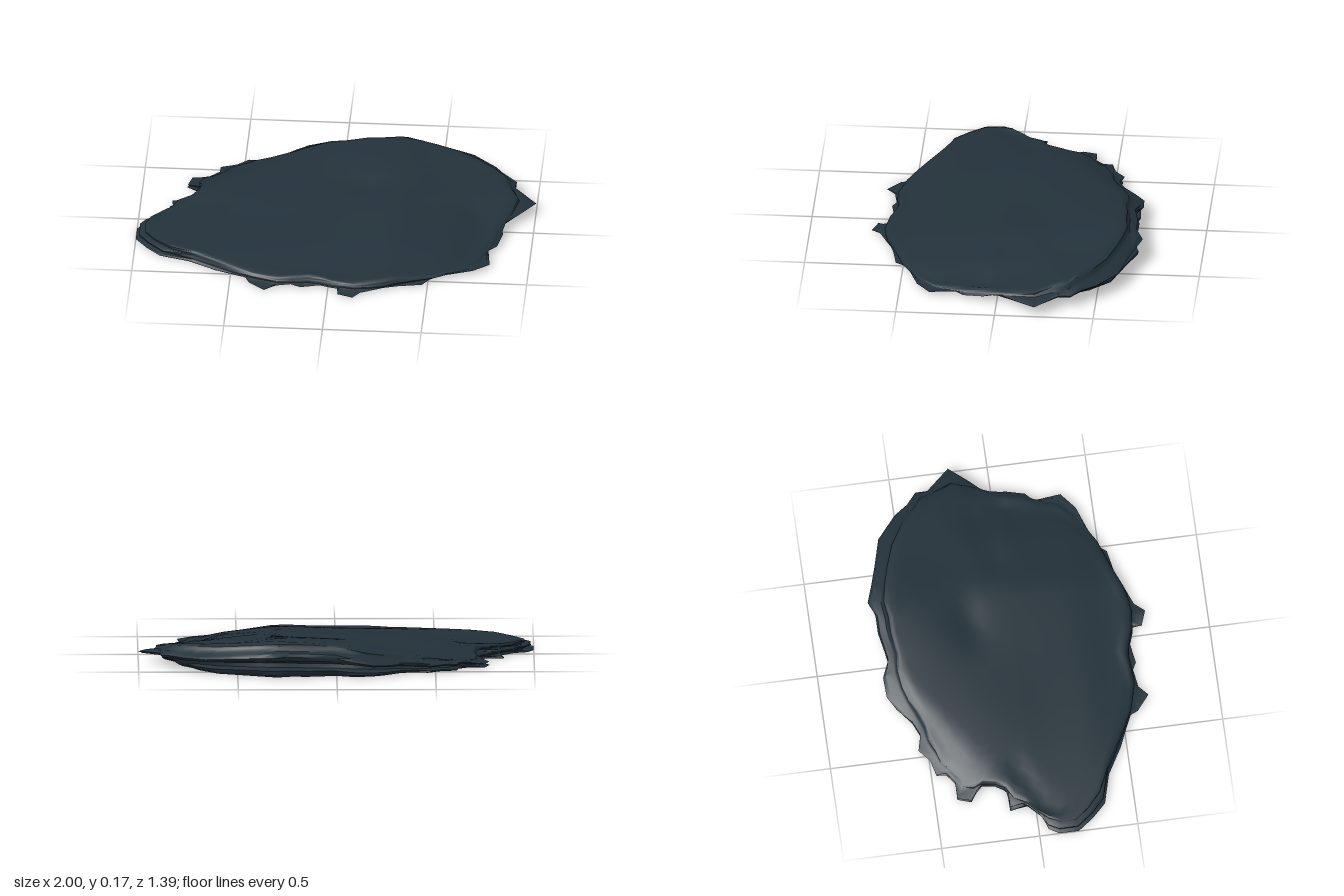
import * as THREE from 'three';
import { toCreasedNormals } from 'three/addons/utils/BufferGeometryUtils.js';

const { smoothstep, lerp, clamp } = THREE.MathUtils;

// Ragged plan outline (x, z): left, front, right, back
const OUTLINE = [
  [-1, .1], [-1, .2], [-.94, .28], [-.87, .35], [-.72, .39], [-.58, .47], [-.42, .53], [-.4, .58],
  [-.32, .645], [-.27, .6], [-.2, .575], [-.14, .605], [0, .565], [.07, .6], [.05, .66], [.13, .69],
  [.16, .645], [.25, .6], [.36, .575], [.49, .56], [.52, .52], [.6, .47], [.73, .42], [.81, .35],
  [.79, .21], [.83, .17], [.85, .07], [.83, 0], [.92, -.1], [1, -.2], [.89, -.32], [.89, -.38],
  [.83, -.43], [.78, -.5], [.66, -.6], [.51, -.64], [.41, -.67], [.32, -.7], [.25, -.67], [.15, -.67],
  [0, -.64], [-.08, -.675], [-.18, -.67], [-.25, -.63], [-.33, -.56], [-.4, -.53], [-.48, -.55], [-.54, -.5],
  [-.62, -.48], [-.62, -.43], [-.67, -.39], [-.76, -.39], [-.78, -.32], [-.7, -.27], [-.69, -.18], [-.75, -.13],
  [-.85, -.13], [-.83, -.04], [-.9, .03], [-.97, .05],
];

// Edge strata: [height fraction, smoothing, front, back, left, right reach]
const STRATA = [
  [0, .5, .94, .88, .97, .8],
  [0, .1, .99, .95, 1, .84],
  [.08, 0, 1, .975, 1, .86],
  [.2, .2, .98, .985, .99, .89],
  [.27, .6, .97, .93, .985, .93],
  [.4, .6, .97, .92, .985, .96],
  [.5, .1, .97, .985, .99, .99],
  [.62, 0, .965, 1, .985, 1],
  [.72, .3, .96, .985, .985, .995],
  [.76, .7, .96, .93, .98, .985],
  [.86, .7, .955, .91, .98, .98],
  [.94, .6, .945, .905, .98, .97],
  [.99, .7, .925, .885, .97, .94],
];

// Distance from (x, z) to a segment, used for the surface cracks
function segmentDistance(x, z, [ax, az, bx, bz]) {
  const dx = bx - ax, dz = bz - az;
  const t = clamp(((x - ax) * dx + (z - az) * dz) / (dx * dx + dz * dz), 0, 1);
  return Math.hypot(x - ax - t * dx, z - az - t * dz);
}
const CRACKS = [[.9, -.27, .68, -.07], [.68, -.07, .45, -.03], [.85, 0, .63, .13], [-.93, .08, -.65, -.07]];

const bump = (x, z, cx, cz, rx, rz) => Math.exp(-(((x - cx) / rx) ** 2) - ((z - cz) / rz) ** 2);

// Tilted slab height: humps behind the middle, low ledges around the corners
function topHeight(x, z) {
  let y = .105 + .05 * x - .11 * z * Math.max(.15, .6 + .6 * x) - .02 * Math.max(0, z);
  y -= .135 * Math.max(0, x - .3);
  y += .014 * bump(x, z, .12, -.45, .22, .2) + .018 * bump(x, z, -.35, -.17, .3, .25);
  y -= .022 * smoothstep(x, .55, .8) * smoothstep(z, -.2, 0);  // right front
  y -= .04 * smoothstep(-.6 * x - .9 * z, .55, .76);           // left back
  y -= .03 * smoothstep(.5 * x - .87 * z, .72, .88);           // right back
  y -= .012 * smoothstep(z, .3, .55);                          // front
  return Math.max(.03, y);
}
function topSurface(x, z) {
  let y = topHeight(x, z) - .014 * bump(x, z, .14, -.2, .13, .08);
  for (const c of CRACKS) y -= .01 * Math.exp(-((segmentDistance(x, z, c) / .045) ** 2));
  return y + .003 * Math.sin(5 * x + 3 * z) * Math.cos(6 * z - 2 * x);
}

function slabGeometry() {
  const n = OUTLINE.length, positions = [], index = [];
  // Outline softened by averaging neighbours
  const soft = OUTLINE.map((_, i) => [0, 1].map((k) => {
    let sum = 0;
    for (let d = -2; d <= 2; d++) sum += OUTLINE[(i + d + n) % n][k];
    return sum / 5;
  }));
  // Only the lowest sheet follows the front tabs
  const edgePoint = (i, [t, smooth, front, back, left, right]) => {
    const [ox, oz] = OUTLINE[i];
    const a = Math.atan2(oz / .68, ox), c = Math.cos(a) ** 2, s = Math.sin(a) ** 2;
    const reach = c * (ox > 0 ? right : left) + s * (oz > 0 ? front : back);
    const blend = oz > .5 && t > .1 ? 1 : smooth;
    return [0, 1].map((k) => lerp(OUTLINE[i][k], soft[i][k], blend) * reach);
  };
  let rings = 0;
  const addRing = (fn) => {
    for (let i = 0; i < n; i++) positions.push(...fn(i));
    rings++;
  };

  // Underside, hollowed inside a low rim
  for (const s of [0, .2, .4, .6, .7, .76, .82, .88, .94]) {
    addRing((i) => {
      const [ex, ez] = edgePoint(i, STRATA[0]), x = ex * s, z = ez * s;
      const depth = Math.min(.031, .38 * topHeight(x, z)) * (1 - smoothstep(s, .72, .9));
      return [x, depth * (1 + .15 * Math.sin(7 * x + 4 * z)), z];
    });
  }
  // Layered rim
  STRATA.forEach((row, r) => {
    addRing((i) => {
      const [x, z] = edgePoint(i, row);
      const wobble = r > 1 ? .004 * Math.sin(i * .9 + r * .35) : 0;
      return [x, Math.max(0, row[0] * (topHeight(x, z) + wobble)), z];
    });
  });
  // Upper face
  const last = STRATA[STRATA.length - 1];
  for (const s of [.97, .92, .86, .8, .73, .66, .59, .52, .45, .38, .31, .24, .17, .1, .05, 0]) {
    addRing((i) => {
      const [x, z] = edgePoint(i, last);
      return [x * s, topSurface(x * s, z * s), z * s];
    });
  }

  // Join the rings, with single triangles at both centres
  for (let r = 0; r < rings - 1; r++) {
    for (let i = 0; i < n; i++) {
      const a = r * n + i, b = r * n + (i + 1) % n, c = b + n, d = a + n;
      if (r > 0) index.push(a, b, c);
      if (r < rings - 2) index.push(a, c, d);
    }
  }
  const g = new THREE.BufferGeometry();
  g.setAttribute('position', new THREE.Float32BufferAttribute(positions, 3));
  g.setIndex(index);
  return toCreasedNormals(g, .7);
}

export function createModel() {
  const group = new THREE.Group();
  group.name = 'flatRock';
  const slate = new THREE.MeshStandardMaterial({ color: 0x23313a, side: THREE.DoubleSide });
  slate.name = 'dark slate';

  const slab = new THREE.Mesh(slabGeometry(), slate);
  slab.name = 'layeredSlab';
  group.add(slab);
  return group;
}
